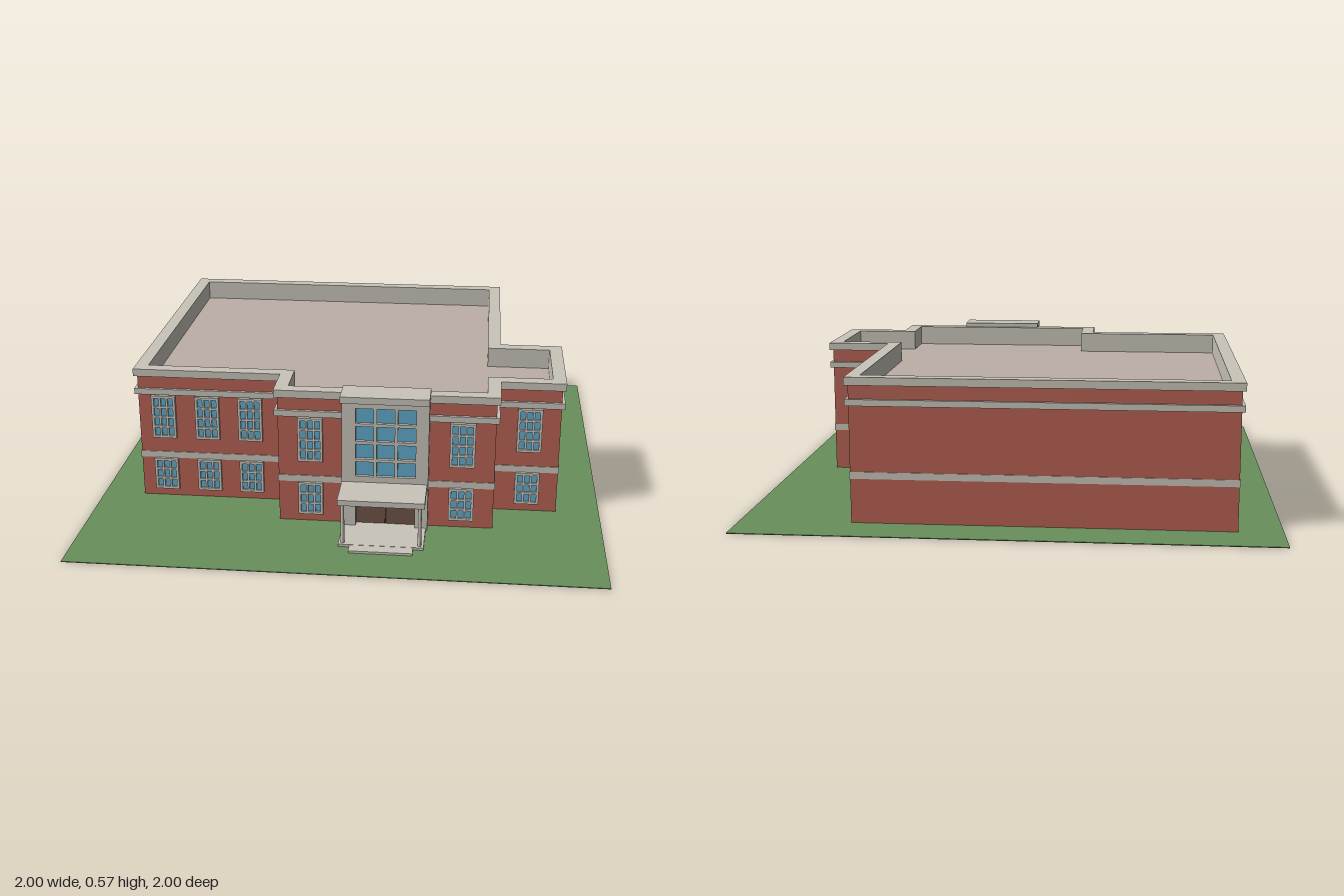
import * as THREE from 'three';

const paint = (name, color) => {
  const m = new THREE.MeshStandardMaterial({ color });
  m.name = name;
  return m;
};

// Wall footprint, as x and -z, counter-clockwise
const FOOTPRINT = [
  [-0.835, 0.83], [-0.835, -0.41], [-0.25, -0.41], [-0.25, -0.58], [0.58, -0.58],
  [0.58, -0.41], [0.83, -0.41], [0.83, 0], [0.58, 0], [0.58, 0.83],
];

// Footprint moved outward by d
function outline(d) {
  const n = FOOTPRINT.length;
  const normal = (a, b) => [Math.sign(b[1] - a[1]), -Math.sign(b[0] - a[0])];
  return FOOTPRINT.map((p, i) => {
    const n1 = normal(FOOTPRINT[(i + n - 1) % n], p);
    const n2 = normal(p, FOOTPRINT[(i + 1) % n]);
    return new THREE.Vector2(p[0] + d * (n1[0] + n2[0]), p[1] + d * (n1[1] + n2[1]));
  });
}

const rectPoints = (x0, y0, x1, y1) => [
  new THREE.Vector2(x0, y0), new THREE.Vector2(x1, y0),
  new THREE.Vector2(x1, y1), new THREE.Vector2(x0, y1),
];

export function createModel() {
  const model = new THREE.Group();
  model.name = 'schoolBuilding';

  const brick = paint('brick red', 0xb66154);
  const stone = paint('pale stone', 0xc9c5ba);
  const roofing = paint('roof taupe', 0xbdafa7);
  const grass = paint('grass green', 0x688f5b);
  const glass = paint('window blue', 0x62a9cd);
  const wood = paint('door brown', 0x6e5447);
  const dark = paint('door gap', 0x3a2b25);

  const add = (parent, name, geometry, material) => {
    const mesh = new THREE.Mesh(geometry, material);
    mesh.name = name;
    parent.add(mesh);
    return mesh;
  };

  // Box given by its minimum and maximum on each axis
  const box = (parent, name, material, x0, x1, y0, y1, z0, z1) => {
    const g = new THREE.BoxGeometry(x1 - x0, y1 - y0, z1 - z0);
    g.translate((x0 + x1) / 2, (y0 + y1) / 2, (z0 + z1) / 2);
    return add(parent, name, g, material);
  };

  // Storey following the footprint; a second offset makes it a ring
  const layer = (name, material, y0, y1, outer, inner) => {
    const shape = new THREE.Shape(outline(outer));
    if (inner !== undefined) shape.holes.push(new THREE.Path(outline(inner)));
    const g = new THREE.ExtrudeGeometry(shape, { depth: y1 - y0, bevelEnabled: false });
    g.rotateX(-Math.PI / 2).translate(0, y0, 0);
    return add(model, name, g, material);
  };

  // Upright plate with rectangular openings
  const pierced = (parent, name, material, rect, holes, z0, z1) => {
    const shape = new THREE.Shape(rectPoints(...rect));
    holes.forEach((h) => shape.holes.push(new THREE.Path(rectPoints(...h))));
    const g = new THREE.ExtrudeGeometry(shape, { depth: z1 - z0, bevelEnabled: false });
    g.translate(0, 0, z0);
    return add(parent, name, g, material);
  };

  // Rectangles of a pane grid separated by bars
  const paneGrid = (x0, y0, x1, y1, cols, rows, bar) => {
    const w = (x1 - x0 - bar * (cols - 1)) / cols;
    const h = (y1 - y0 - bar * (rows - 1)) / rows;
    const panes = [];
    for (let c = 0; c < cols; c++) {
      for (let r = 0; r < rows; r++) {
        const x = x0 + c * (w + bar), y = y0 + r * (h + bar);
        panes.push([x, y, x + w, y + h]);
      }
    }
    return panes;
  };

  // Lawn
  box(model, 'lawn', grass, -1, 1, 0, 0.003, -1, 1);

  // Walls, roof and stone courses
  layer('walls', brick, 0.002, 0.465, 0);
  layer('roof', roofing, 0.465, 0.47, -0.034);
  layer('parapet', brick, 0.465, 0.521, 0, -0.03);
  layer('parapetLining', stone, 0.465, 0.521, -0.03, -0.038);
  layer('cornice', stone, 0.52, 0.55, 0.013, -0.038);
  layer('upperCourse', stone, 0.444, 0.468, 0.012, -0.01);
  layer('middleCourse', stone, 0.17, 0.196, 0.003, -0.01);

  // Windows: left edge and wall depth, one on each storey
  const windowColumns = [
    [-0.782, 0.41], [-0.607, 0.41], [-0.435, 0.41],
    [-0.173, 0.58], [0.408, 0.58], [0.663, 0.41],
  ];
  const width = 0.096;
  for (const [x, z] of windowColumns) {
    for (const [y0, y1, rows] of [[0.26, 0.439, 4], [0.036, 0.17, 3]]) {
      const win = new THREE.Group();
      win.name = 'window';
      const panes = paneGrid(x + 0.01, y0 + 0.01, x + width - 0.01, y1 - 0.01, 3, rows, 0.008);
      pierced(win, 'windowFrame', stone, [x, y0, x + width, y1], panes, z, z + 0.014);
      box(win, 'windowGlass', glass, x + 0.004, x + width - 0.004, y0 + 0.004, y1 - 0.004, z, z + 0.006);
      model.add(win);
    }
  }

  // Entrance tower with its great window and doorway
  const entrance = new THREE.Group();
  entrance.name = 'entrance';
  model.add(entrance);
  const bigPanes = paneGrid(0.053, 0.222, 0.281, 0.5, 3, 4, 0.012);
  pierced(entrance, 'entranceTower', stone, [0, 0.002, 0.33, 0.545],
    [...bigPanes, [0.053, 0.012, 0.281, 0.172]], 0.57, 0.625);
  box(entrance, 'towerGlass', glass, 0.045, 0.289, 0.214, 0.508, 0.6, 0.612);
  box(entrance, 'towerRoof', stone, 0, 0.332, 0.541, 0.567, 0.562, 0.682);
  for (const [x0, x1] of [[0.053, 0.164], [0.17, 0.281]]) {
    box(entrance, 'door', wood, x0, x1, 0.012, 0.172, 0.584, 0.597);
  }
  box(entrance, 'doorGap', dark, 0.163, 0.171, 0.012, 0.172, 0.584, 0.595);

  // Porch
  box(entrance, 'canopy', stone, 0, 0.326, 0.176, 0.198, 0.62, 0.79);
  box(entrance, 'landing', stone, 0.002, 0.324, 0.002, 0.013, 0.62, 0.785);
  box(entrance, 'step', stone, 0.045, 0.285, 0.002, 0.012, 0.78, 0.832);
  for (const x of [0.018, 0.308]) {
    const post = add(entrance, 'porchPost', new THREE.CylinderGeometry(0.007, 0.007, 0.168, 12), stone);
    post.position.set(x, 0.094, 0.768);
  }

  return model;
}
